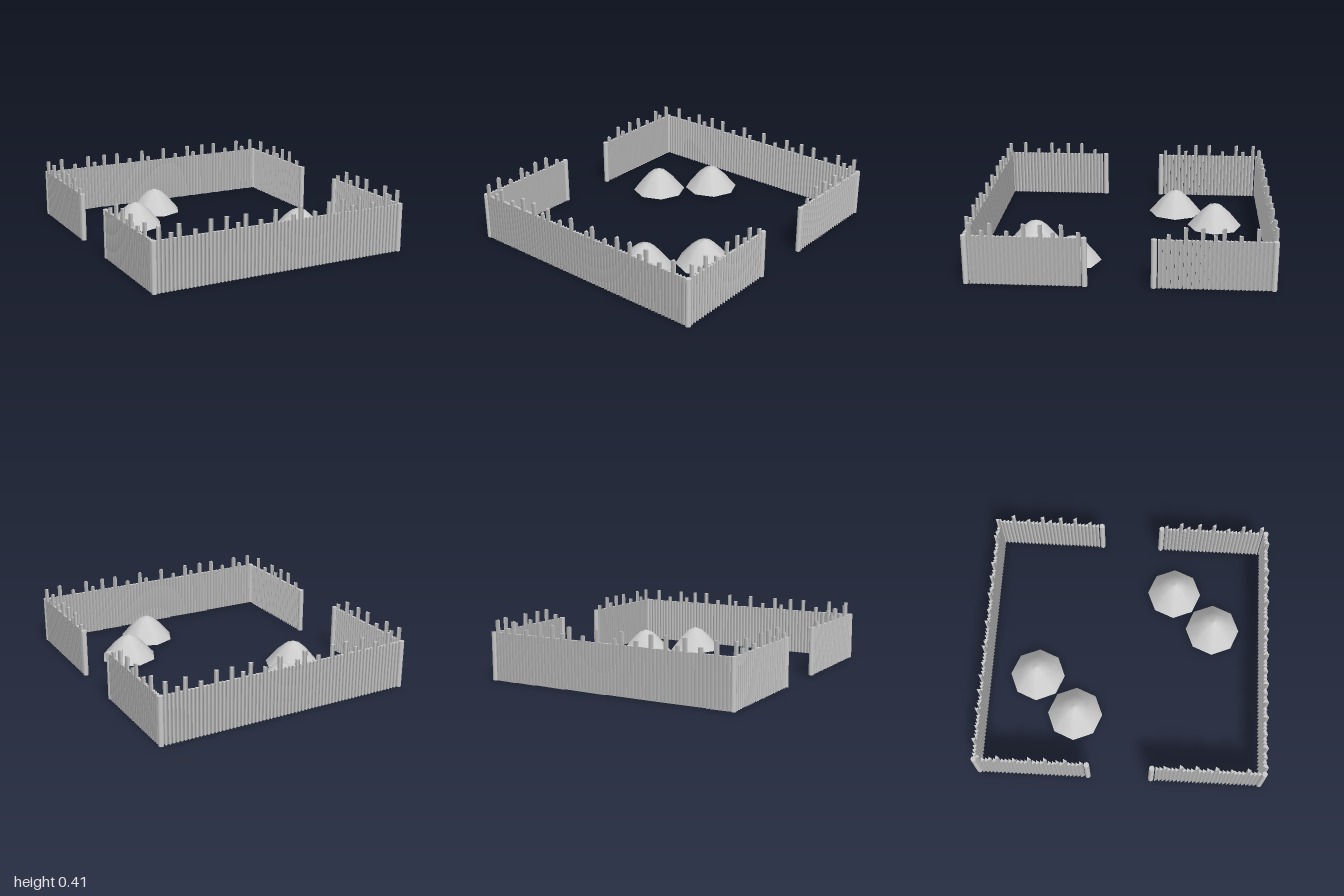
import * as THREE from 'three';

const material = new THREE.MeshStandardMaterial({ color: 0xcccccc, side: THREE.DoubleSide });

// Stake heights: everyday, slightly raised and tall
const LOW = 0.328, MID = 0.363, TALL = 0.412;
const PERIOD = 17, STEP = 0.0265;
const HEIGHTS = { 0: TALL, 3: MID, 5: TALL, 9: MID, 13: TALL };
const heightA = (i) => HEIGHTS[i % PERIOD] ?? LOW;
const heightB = (i) => HEIGHTS[PERIOD - 1 - (i % PERIOD)] ?? LOW;

// Upright prism standing on the ground
function upright(name, radius, sides, height, x, z, turn = 0) {
  const geometry = new THREE.CylinderGeometry(radius, radius, height, sides);
  geometry.translate(0, height / 2, 0);
  const mesh = new THREE.Mesh(geometry, material);
  mesh.name = name;
  mesh.position.set(x, 0, z);
  mesh.rotation.y = turn;
  return mesh;
}

// One long wall and one gated side wall; the other half is the same turned round
function createFenceHalf() {
  const half = new THREE.Group();
  const stake = (h, x, z, turn) => half.add(upright('stake', 0.0173, 3, h, x, z, turn));

  // Long wall
  for (let i = 0; i < 66; i++) {
    const h = i < 33 ? heightA(i) : heightB(65 - i);
    stake(h, (i - 32.5) * STEP, 0.98, Math.PI / 2);
  }
  // Side wall with a gateway in the middle
  for (let i = 0; i < 27; i++) {
    const z = 0.945 - i * STEP;
    stake(heightA(i), 0.895, z, Math.PI);
    stake(heightB(i), 0.895, -z, Math.PI);
  }
  // Corner and gate posts
  for (const z of [0.98, 0.218, -0.222, -0.98]) {
    half.add(upright('post', 0.019, 8, 0.33, 0.895, z));
  }
  return half;
}

// Eight-sided smooth mound, open underneath
function createMound(x, z) {
  const profile = [[0.195, 0.02], [0.105, 0.125], [0.05, 0.172], [0, 0.19]];
  const geometry = new THREE.LatheGeometry(profile.map(([r, y]) => new THREE.Vector2(r, y)), 8);
  const mesh = new THREE.Mesh(geometry, material);
  mesh.name = 'mound';
  mesh.position.set(x, 0, z);
  return mesh;
}

export function createModel() {
  const model = new THREE.Group();
  model.name = 'palisadeCamp';

  const frontAndLeft = createFenceHalf();
  frontAndLeft.name = 'fenceFrontAndLeft';
  const backAndRight = createFenceHalf();
  backAndRight.name = 'fenceBackAndRight';
  backAndRight.rotation.y = Math.PI;
  model.add(frontAndLeft, backAndRight);

  for (const [x, z] of [[-0.175, -0.63], [-0.455, -0.34], [0.24, 0.625], [0.515, 0.335]]) {
    model.add(createMound(x, z));
  }
  return model;
}
